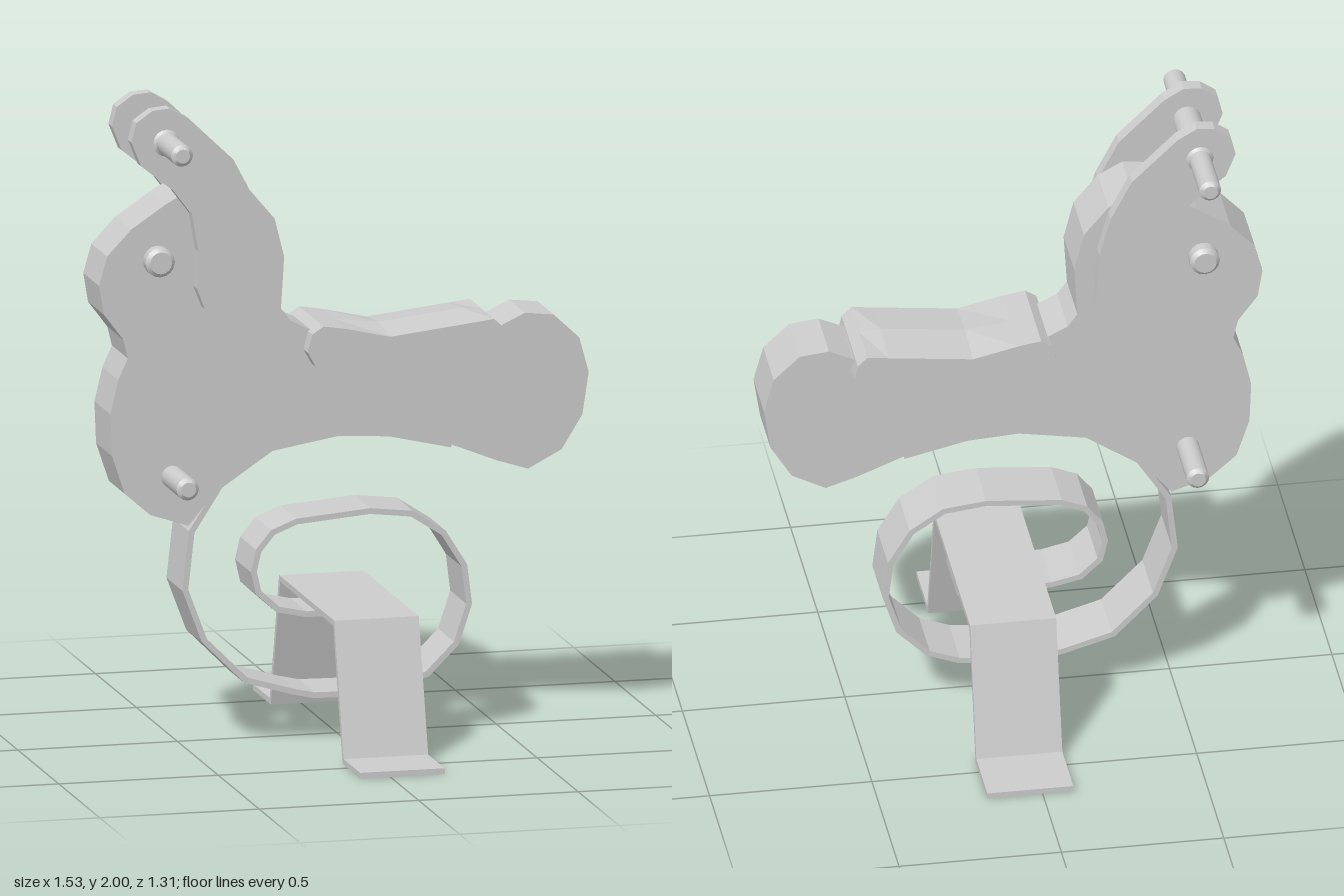
import * as THREE from 'three';
import { toCreasedNormals } from 'three/addons/utils/BufferGeometryUtils.js';

const material = new THREE.MeshStandardMaterial({ color: 0xcccccc });
const vectors = (pairs) => pairs.map(([x, y]) => new THREE.Vector2(x, y));

// Flat plate cut from an outline, centred on z = 0
function plate(outline, width, steps = 1) {
  const geometry = new THREE.ExtrudeGeometry(new THREE.Shape(outline), { depth: width, steps, bevelEnabled: false });
  return geometry.translate(0, 0, -width / 2);
}

// Bent metal strip of even thickness following a path
function strip(path, thickness, width) {
  const points = vectors(path);
  const direction = (i) => points[i + 1].clone().sub(points[i]).normalize();
  const offset = points.map((p, i) => {
    const a = direction(Math.max(i - 1, 0));
    const b = direction(Math.min(i, points.length - 2));
    const tangent = a.clone().add(b).normalize();
    return new THREE.Vector2(-tangent.y, tangent.x).multiplyScalar(thickness / 2 / tangent.dot(b));
  });
  const upper = points.map((p, i) => p.clone().add(offset[i]));
  const lower = points.map((p, i) => p.clone().sub(offset[i])).reverse();
  return plate([...upper, ...lower], width);
}

// Round rod along z with chamfered ends
function rod(radius, length) {
  const h = length / 2, c = 0.012;
  const profile = vectors([[0, -h], [radius - c, -h], [radius, -h + c], [radius, h - c], [radius - c, h], [0, h]]);
  const geometry = new THREE.LatheGeometry(profile, 16).rotateX(Math.PI / 2);
  return toCreasedNormals(geometry, 0.6);
}

export function createModel() {
  const group = new THREE.Group();
  const add = (name, geometry, x = 0, y = 0, z = 0) => {
    const mesh = new THREE.Mesh(geometry, material);
    mesh.name = name;
    mesh.position.set(x, y, z);
    group.add(mesh);
    return mesh;
  };

  // Animal-shaped body board
  add('body', plate(vectors([
    [-0.49, 0.69], [-0.39, 0.81], [-0.23, 0.925], [-0.02, 0.955], [0.14, 0.945], [0.33, 0.9],
    [0.48, 0.84], [0.575, 0.81], [0.68, 0.865], [0.745, 0.97], [0.765, 1.1], [0.735, 1.21],
    [0.655, 1.285], [0.565, 1.295], [0.49, 1.26], [0.4, 1.23], [0.14, 1.23], [0, 1.25],
    [-0.11, 1.28], [-0.17, 1.31], [-0.2, 1.35], [-0.19, 1.51], [-0.22, 1.63], [-0.295, 1.72],
    [-0.37, 1.76], [-0.46, 1.75], [-0.565, 1.69], [-0.67, 1.62], [-0.745, 1.54], [-0.77, 1.45],
    [-0.755, 1.36], [-0.695, 1.28], [-0.68, 1.22], [-0.71, 1.155], [-0.735, 1.05], [-0.73, 0.92],
    [-0.69, 0.8], [-0.61, 0.73],
  ]), 0.195));

  // Wide dished seat, its middle line raised slightly
  const seat = plate(vectors([
    [-0.13, 1.22], [-0.105, 1.175], [-0.08, 1.165], [0.08, 1.125], [0.295, 1.125], [0.44, 1.165],
    [0.475, 1.18], [0.495, 1.22], [0.485, 1.265], [0.455, 1.293], [0.39, 1.285], [0.13, 1.255],
    [-0.01, 1.287], [-0.08, 1.298], [-0.115, 1.275],
  ]), 0.3, 2);
  const position = seat.attributes.position;
  for (let i = 0; i < position.count; i++) {
    const x = position.getX(i), y = position.getY(i);
    if (Math.abs(position.getZ(i)) < 0.01 && y > 1.2 && x > 0 && x < 0.43) position.setY(i, y + 0.015);
  }
  const flatSeat = seat.toNonIndexed();
  flatSeat.computeVertexNormals();
  add('seat', flatSeat);

  // Pair of curved arms carrying the handlebar
  const arm = plate(vectors([
    [-0.68, 1.9], [-0.65, 1.825], [-0.55, 1.745], [-0.49, 1.665], [-0.47, 1.55], [-0.475, 1.435],
    [-0.45, 1.37], [-0.39, 1.335], [-0.32, 1.335], [-0.275, 1.36], [-0.25, 1.42], [-0.26, 1.58],
    [-0.295, 1.705], [-0.36, 1.83], [-0.5, 1.965], [-0.56, 2], [-0.615, 1.995], [-0.665, 1.96],
  ]), 0.045);
  add('frontHandleArm', arm, 0, 0, 0.119);
  add('backHandleArm', arm, 0, 0, -0.119);

  // Rods through the body
  add('handlebar', rod(0.034, 0.684), -0.57, 1.893);
  add('handlebarSleeve', rod(0.043, 0.305), -0.57, 1.893);
  add('eyes', rod(0.046, 0.285), -0.587, 1.52);
  add('footRest', rod(0.035, 0.59), -0.54, 0.845);

  // Coiled leaf spring from the stand to the underside of the body
  add('spring', strip([
    [0.17, 0.395], [-0.12, 0.395], [-0.21, 0.415], [-0.27, 0.47], [-0.285, 0.535], [-0.27, 0.6],
    [-0.225, 0.655], [-0.15, 0.685], [0.08, 0.705], [0.21, 0.69], [0.31, 0.625], [0.375, 0.52],
    [0.39, 0.4], [0.35, 0.28], [0.26, 0.19], [0.165, 0.155], [0.04, 0.14], [-0.095, 0.142],
    [-0.155, 0.155], [-0.31, 0.2], [-0.44, 0.33], [-0.5, 0.49], [-0.48, 0.67], [-0.39, 0.81],
    [-0.23, 0.917], [-0.02, 0.953], [0.14, 0.943], [0.335, 0.898],
  ], 0.018, 0.195));

  // Folded stand with two feet
  const stand = strip([
    [-0.655, 0.009], [-0.445, 0.009], [-0.33, 0.415], [0.33, 0.415], [0.445, 0.009], [0.655, 0.009],
  ], 0.018, 0.265).rotateY(-Math.PI / 2);
  add('stand', stand, 0.038);

  return group;
}
